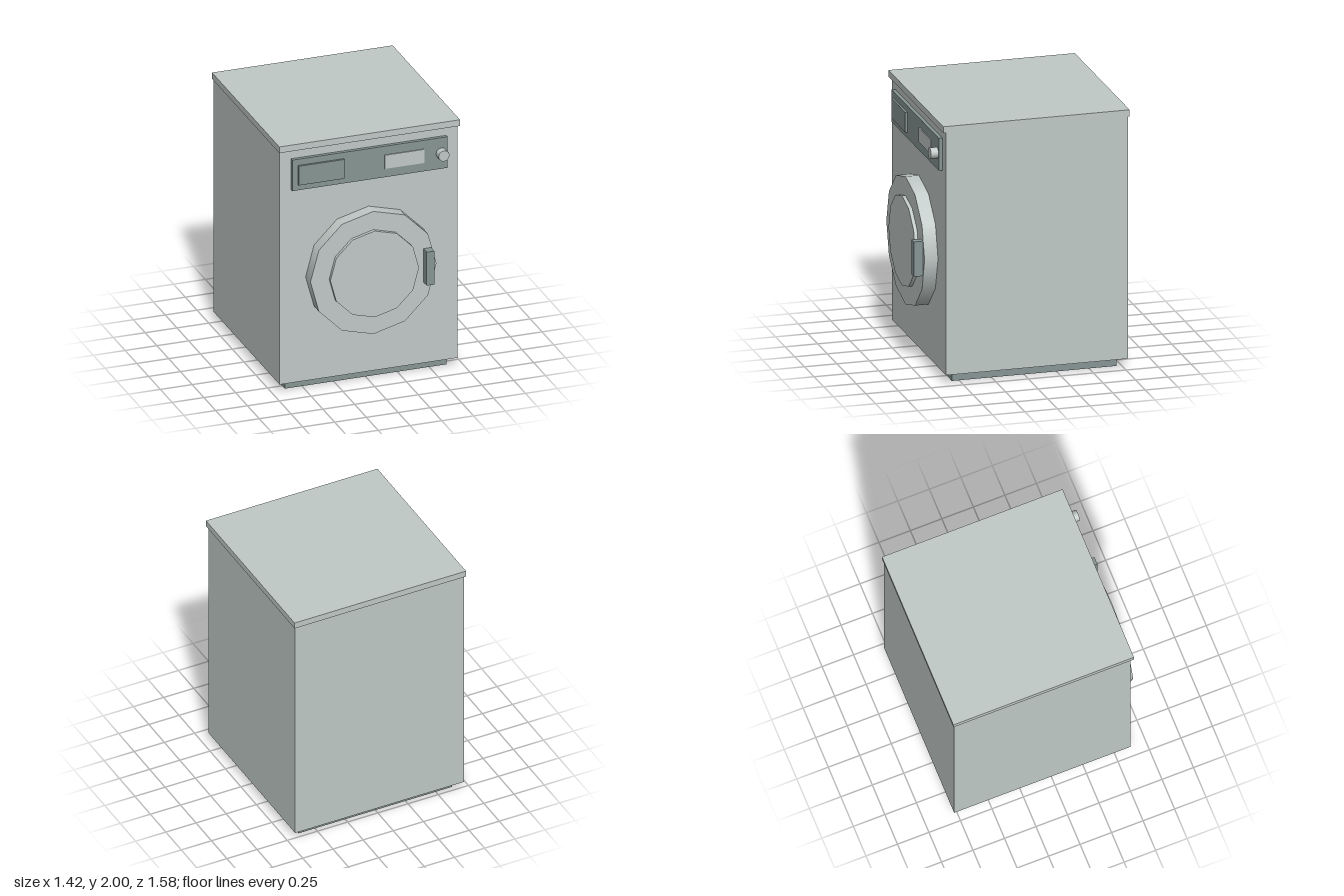
import * as THREE from 'three';

export function createModel() {
  const group = new THREE.Group();
  const light = new THREE.MeshStandardMaterial({ name: 'paleGrey', color: 0xc1cac8 });
  const dark = new THREE.MeshStandardMaterial({ name: 'slateGrey', color: 0x879694 });

  // Box given by its limits on each axis
  function box(name, material, [x0, x1], [y0, y1], [z0, z1]) {
    const mesh = new THREE.Mesh(new THREE.BoxGeometry(x1 - x0, y1 - y0, z1 - z0), material);
    mesh.position.set((x0 + x1) / 2, (y0 + y1) / 2, (z0 + z1) / 2);
    mesh.name = name;
    group.add(mesh);
  }

  // Twelve-sided disc facing the front
  function disc(name, material, x, y, radius, z0, z1) {
    const geometry = new THREE.CylinderGeometry(radius, radius, z1 - z0, 12);
    geometry.rotateX(Math.PI / 2);
    const mesh = new THREE.Mesh(geometry, material);
    mesh.position.set(x, y, (z0 + z1) / 2);
    mesh.name = name;
    group.add(mesh);
  }

  // Cabinet
  box('plinth', dark, [-0.635, 0.635], [0, 0.07], [-0.71, 0.555]);
  box('cabinet', light, [-0.7, 0.7], [0.07, 1.95], [-0.78, 0.62]);
  box('lid', light, [-0.71, 0.71], [1.95, 2], [-0.79, 0.643]);

  // Controls
  box('controlPanel', dark, [-0.61, 0.61], [1.63, 1.88], [0.62, 0.648]);
  box('detergentDrawer', dark, [-0.565, -0.205], [1.675, 1.83], [0.648, 0.664]);
  box('display', light, [0.115, 0.425], [1.7, 1.81], [0.648, 0.656]);
  disc('knob', light, 0.562, 1.755, 0.043, 0.648, 0.705);

  // Door
  disc('doorRing', light, 0, 0.908, 0.495, 0.62, 0.723);
  disc('doorWindow', light, 0, 0.908, 0.348, 0.723, 0.75);
  box('doorHandle', dark, [0.393, 0.453], [0.772, 1.042], [0.723, 0.793]);

  return group;
}
